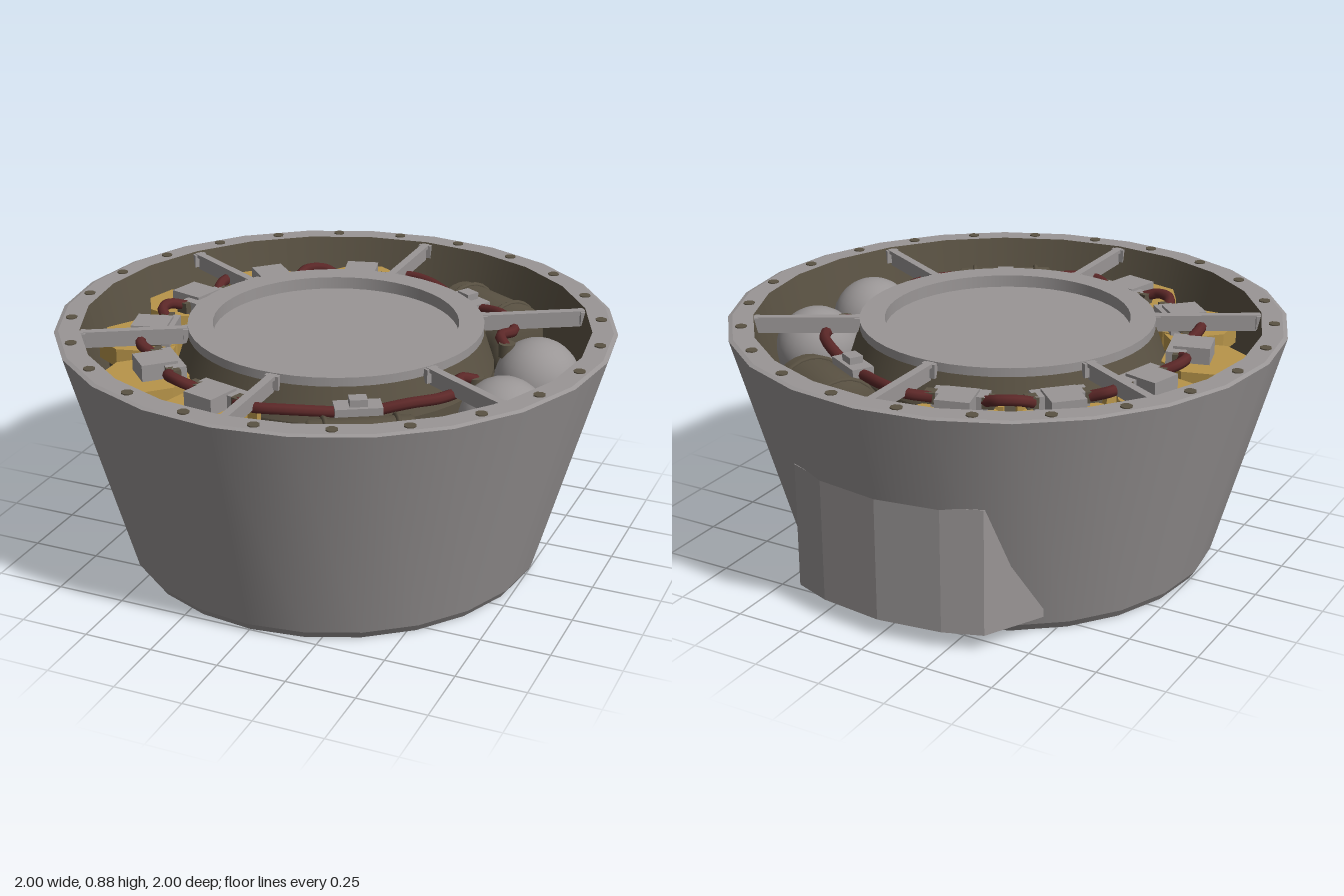
import * as THREE from 'three';
import { mergeGeometries } from 'three/addons/utils/BufferGeometryUtils.js';

const paint = (name, color) => Object.assign(new THREE.MeshStandardMaterial({ color }), { name });

export function createModel() {
  const model = new THREE.Group();
  model.name = 'serviceModule';
  const grey = paint('hull grey', 0x9a9696);
  const brown = paint('bay brown', 0x5a5243);
  const gold = paint('foil gold', 0xb8954a);
  const red = paint('cable red', 0x5c2828);

  const add = (name, geometry, material, parent = model, x = 0, y = 0, z = 0) => {
    const mesh = new THREE.Mesh(geometry, material);
    mesh.name = name;
    mesh.position.set(x, y, z);
    parent.add(mesh);
    return mesh;
  };
  const box = (name, w, h, d, material, parent, x, y, z = 0) =>
    add(name, new THREE.BoxGeometry(w, h, d), material, parent, x, y, z);

  // Revolved surface: smooth around, crisp between profile segments
  const revolve = (name, points, sides, material) => {
    const bands = [];
    for (let i = 0; i + 1 < points.length; i++) {
      const pair = [points[i], points[i + 1]].map(p => new THREE.Vector2(...p));
      bands.push(new THREE.LatheGeometry(pair, sides));
    }
    return add(name, mergeGeometries(bands), material);
  };

  // Group whose local +x points outward at an angle in the x-z plane
  const spoke = (name, degrees) => {
    const group = new THREE.Group();
    group.name = name;
    group.rotation.y = -THREE.MathUtils.degToRad(degrees);
    model.add(group);
    return group;
  };

  // Hull, underside and rim
  revolve('hull', [[0.66, 0.07], [0.66, 0], [0.745, 0], [0.765, 0.03], [1, 0.87], [0.985, 0.875], [0.91, 0.875]], 24, grey);
  revolve('underside', [[0, 0.045], [0.44, 0.045], [0.44, 0.01], [0.53, 0.01], [0.53, 0.07], [0.66, 0.07]], 48, grey);

  // Open equipment bay
  revolve('bayWall', [[0.91, 0.875], [0.83, 0.53], [0.5, 0.53]], 24, brown);
  revolve('hubWall', [[0.57, 0.53], [0.57, 0.72], [0.53, 0.84]], 48, brown);
  revolve('hubTop', [[0.53, 0.84], [0.53, 0.872], [0.44, 0.872], [0.44, 0.827], [0, 0.827]], 48, grey);

  // Rim bolts
  for (let i = 0; i < 24; i++) {
    const a = (i + 0.5) * Math.PI / 12;
    add('rimBolt', new THREE.CylinderGeometry(0.021, 0.021, 0.01, 8), brown, model,
      0.947 * Math.cos(a), 0.874, 0.947 * Math.sin(a));
  }

  // Radial struts with a flange and a web
  for (let i = 0; i < 6; i++) {
    const strut = spoke('strut', 30 + i * 60);
    box('strutFlange', 0.39, 0.014, 0.03, grey, strut, 0.72, 0.862);
    box('strutWeb', 0.39, 0.05, 0.012, grey, strut, 0.72, 0.832);
    box('strutFoot', 0.02, 0.05, 0.05, grey, strut, 0.537, 0.842);
    box('strutFoot', 0.02, 0.05, 0.05, grey, strut, 0.9, 0.842);
  }

  // Gold octagonal units with control boxes
  for (const degrees of [105, 135, 165, 195, 225, 255]) {
    const unit = spoke('goldUnit', degrees);
    const plate = new THREE.CylinderGeometry(0.157, 0.157, 0.07, 8, 1).toNonIndexed();
    plate.rotateY(Math.PI / 8);
    plate.computeVertexNormals();
    add('goldCanister', plate, gold, unit, 0.715, 0.735);
    add('canisterBase', new THREE.CylinderGeometry(0.14, 0.12, 0.17, 8), brown, unit, 0.71, 0.615);
    box('goldTray', 0.02, 0.06, 0.27, gold, unit, 0.585, 0.735);
    box('controlBox', 0.13, 0.07, 0.12, grey, unit, 0.675, 0.795);
    box('controlBoxBar', 0.07, 0.06, 0.19, grey, unit, 0.625, 0.79);
    for (const s of [-1, 1]) box('cableSocket', 0.045, 0.04, 0.04, brown, unit, 0.64, 0.8, s * 0.1);
  }

  // Strapped barrels with junction boxes
  for (const degrees of [-60, 60]) {
    const barrel = spoke('barrel', degrees);
    const profile = [[0, -0.2], [0.1, -0.2], [0.135, -0.17], [0.135, 0.17], [0.1, 0.2], [0, 0.2]];
    const body = new THREE.LatheGeometry(profile.map(p => new THREE.Vector2(...p)), 24);
    body.rotateX(Math.PI / 2);
    add('barrelBody', body, brown, barrel, 0.725, 0.67);
    for (const s of [-1, 1])
      add('barrelStrap', new THREE.TorusGeometry(0.136, 0.01, 6, 24), brown, barrel, 0.725, 0.67, s * 0.12);
    box('junctionBox', 0.08, 0.05, 0.16, grey, barrel, 0.62, 0.79);
    box('junctionCap', 0.05, 0.03, 0.06, grey, barrel, 0.62, 0.825);
  }

  // Spherical tanks with cable fittings
  for (const s of [-1, 1]) {
    add('sphereTank', new THREE.SphereGeometry(0.155, 24, 16), grey, model, 0.7, 0.68, s * 0.19);
    add('tankFitting', new THREE.CylinderGeometry(0.03, 0.03, 0.05, 12), brown, model, 0.59, 0.79, s * 0.165);
  }

  // Cables linking the units, mirrored front to back
  const cable = points => {
    const curve = new THREE.CatmullRomCurve3(points.map(([x, y, z]) => new THREE.Vector3(x, y, z)));
    add('cable', new THREE.TubeGeometry(curve, 24, 0.02, 8), red);
  };
  for (const s of [-1, 1]) {
    cable([[-0.08, 0.8, 0.65], [0, 0.81, 0.685], [0.1, 0.81, 0.66], [0.25, 0.79, 0.57]].map(([x, y, z]) => [x, y, s * z]));
    cable([[0.36, 0.79, 0.51], [0.46, 0.81, 0.45], [0.54, 0.81, 0.37], [0.57, 0.81, 0.29], [0.55, 0.82, 0.21], [0.59, 0.8, 0.16]]
      .map(([x, y, z]) => [x, y, s * z]));
    cable([[-0.25, 0.8, 0.6], [-0.31, 0.82, 0.61], [-0.37, 0.82, 0.58], [-0.39, 0.8, 0.53]].map(([x, y, z]) => [x, y, s * z]));
    cable([[-0.53, 0.8, 0.39], [-0.59, 0.82, 0.37], [-0.61, 0.82, 0.31], [-0.6, 0.8, 0.25]].map(([x, y, z]) => [x, y, s * z]));
  }
  cable([[-0.64, 0.8, -0.08], [-0.685, 0.82, -0.03], [-0.685, 0.82, 0.03], [-0.64, 0.8, 0.08]]);

  // Rear fairing: an upright prism blending into the tapered hull
  const outline = [[-0.48, 0.61], [-0.37, 0.82], [-0.233, 0.87], [0, 0.9], [0.233, 0.87], [0.37, 0.82], [0.48, 0.61], [0.2, 0.7], [-0.2, 0.7]];
  const fairing = new THREE.ExtrudeGeometry(new THREE.Shape(outline.map(p => new THREE.Vector2(...p))),
    { depth: 0.46, bevelEnabled: false });
  fairing.rotateX(-Math.PI / 2);
  add('rearFairing', fairing, grey, model, 0, 0.065, 0);

  return model;
}
